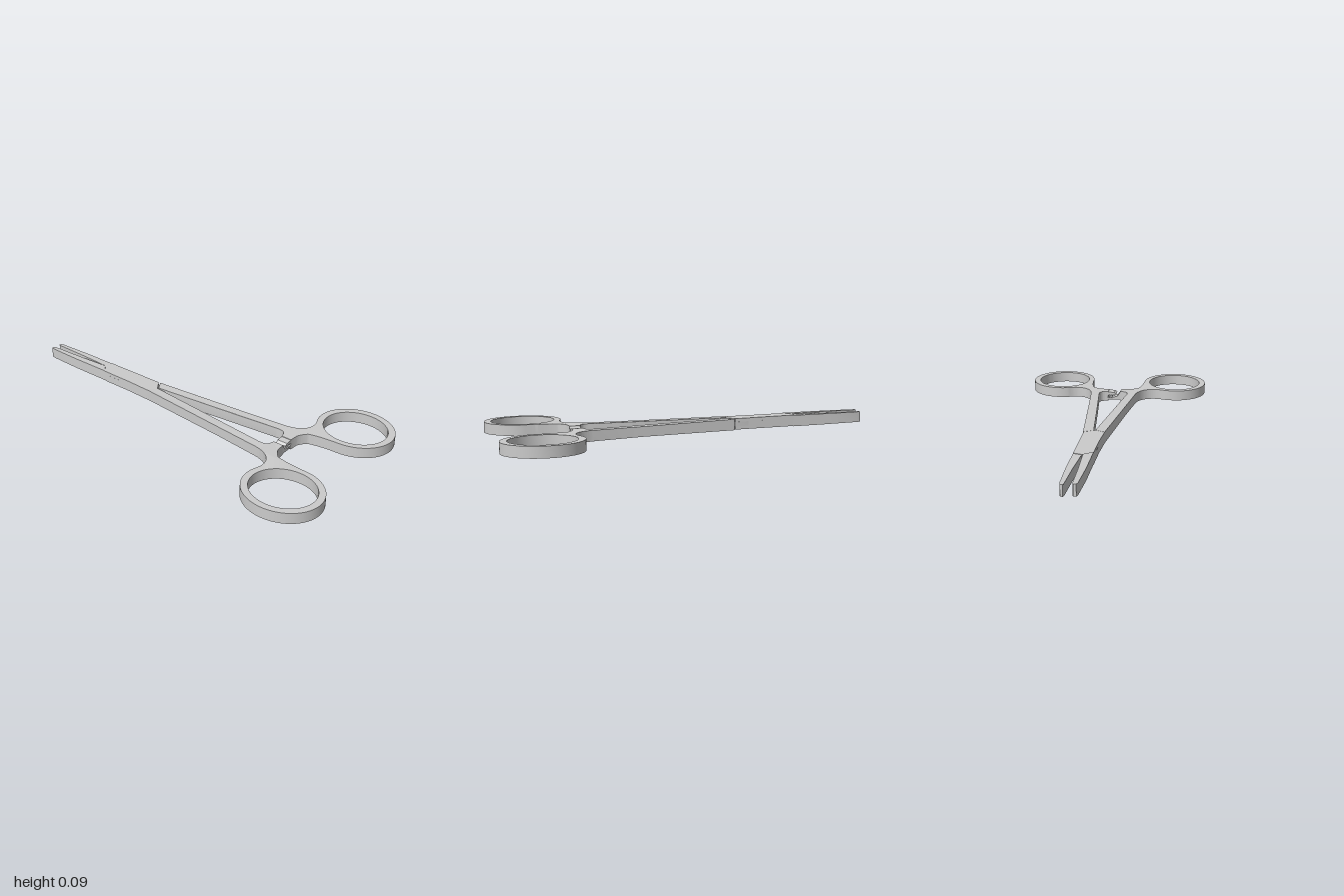
import * as THREE from 'three';
import { toCreasedNormals } from 'three/addons/utils/BufferGeometryUtils.js';

const steel = new THREE.MeshStandardMaterial({ color: 0xcccccc });

// Lower and upper surface heights along the length: [z, bottom, top]
const RISE = [
  [-1, 0.029, 0.085], [-0.6, 0.022, 0.081], [-0.25, 0.017, 0.075],
  [0.25, 0.013, 0.065], [0.6, 0.004, 0.06], [1, 0.002, 0.058],
];

function heightAt(z, t) {
  let i = 0;
  while (i < RISE.length - 2 && z > RISE[i + 1][0]) i++;
  const [a, b] = [RISE[i], RISE[i + 1]];
  const k = (z - a[0]) / (b[0] - a[0]);
  const low = THREE.MathUtils.lerp(a[1], b[1], k);
  const high = THREE.MathUtils.lerp(a[2], b[2], k);
  return THREE.MathUtils.lerp(low, high, t);
}

// Plan shape (x, -z) extruded between two fractions of the local thickness
function slab(name, shape, t0 = 0, t1 = 1, lift = 0) {
  let geo = new THREE.ExtrudeGeometry(shape, { depth: 1, bevelEnabled: false, curveSegments: 40 });
  geo.rotateX(-Math.PI / 2);
  const p = geo.attributes.position;
  for (let i = 0; i < p.count; i++) {
    p.setY(i, heightAt(p.getZ(i), p.getY(i) > 0.5 ? t1 : t0) + lift);
  }
  geo = toCreasedNormals(geo, 0.6);
  const mesh = new THREE.Mesh(geo, steel);
  mesh.name = name;
  return mesh;
}

const plan = (pts) => new THREE.Shape(pts.map(([x, z]) => new THREE.Vector2(x, -z)));

// Shank, ratchet root and finger ring as one outline; side is +1 or -1 in x
function handle(name, side, ringZ, lift) {
  const s = new THREE.Shape();
  s.moveTo(0.005, 0.23);
  s.lineTo(0.0285, 0);
  s.lineTo(0.054, -0.25);
  s.lineTo(0.079, -0.48);
  s.bezierCurveTo(0.084, -0.53, 0.065, -0.535, 0.035, -0.54);
  s.lineTo(0.035, -0.595);
  s.lineTo(0.08, -0.598);
  s.quadraticCurveTo(0.105, -0.605, 0.132, -0.632);
  s.quadraticCurveTo(0.15, -0.69, 0.153, -ringZ);
  s.absellipse(0.332, -ringZ, 0.179, 0.2, Math.PI, Math.PI * 2 + 1.92, false);
  s.bezierCurveTo(0.22, -0.625, 0.145, -0.61, 0.128, -0.5);
  s.lineTo(0.103, -0.25);
  s.lineTo(0.079, 0);
  s.lineTo(0.054, 0.26);

  const flip = (pts) => pts.map((v) => new THREE.Vector2(v.x * side - 0.003, v.y));
  const hole = new THREE.Path().absellipse(0.33, -ringZ, 0.147, 0.165, 0, Math.PI * 2, true);
  const shape = new THREE.Shape(flip(s.getPoints(40)));
  shape.holes.push(new THREE.Path(flip(hole.getPoints(40))));
  return slab(name, shape, 0, 1, lift);
}

// Ratchet tongue: toothed x-y profile running across the bar
function tongue(name, pts) {
  const geo = new THREE.ExtrudeGeometry(
    new THREE.Shape(pts.map(([x, y]) => new THREE.Vector2(x, y))),
    { depth: 0.055, bevelEnabled: false });
  geo.translate(0, 0, 0.54);
  const mesh = new THREE.Mesh(geo, steel);
  mesh.name = name;
  return mesh;
}

export function createModel() {
  const model = new THREE.Group();
  model.name = 'lockingForceps';

  // Handles with finger rings
  model.add(handle('leftHandle', 1, 0.783, -0.002));
  model.add(handle('rightHandle', -1, 0.794, 0.001));

  // Box joint: two cover plates, side walls and the crossing core between them
  const cover = plan([
    [-0.057, -0.26], [-0.008, -0.23], [0.0, -0.235], [0.047, -0.268], [0.045, -0.4],
    [0.043, -0.6], [0, -0.615], [-0.05, -0.575], [-0.051, -0.4],
  ]);
  model.add(slab('jointLowerPlate', cover, 0, 0.3));
  model.add(slab('jointUpperPlate', cover, 0.7, 1));
  model.add(slab('jointRightWall', plan([
    [-0.057, -0.26], [-0.008, -0.23], [-0.03, -0.4], [-0.051, -0.5], [-0.051, -0.4],
  ]), 0.3, 0.7));
  model.add(slab('jointLeftWall', plan([
    [0.046, -0.34], [0.043, -0.6], [0, -0.615], [0.025, -0.45],
  ]), 0.3, 0.7));
  model.add(slab('jointCore', plan([
    [-0.008, -0.23], [0.002, -0.23], [0.05, -0.262], [0.046, -0.34], [0.025, -0.45],
    [0, -0.615], [-0.05, -0.575], [-0.051, -0.5], [-0.03, -0.4],
  ]), 0.3, 0.7));

  // Jaws with softened tips
  model.add(slab('leftJaw', plan([
    [0, -0.61], [0.01, -0.8], [0.015, -0.99], [0.019, -1], [0.031, -1],
    [0.036, -0.98], [0.042, -0.8], [0.043, -0.6],
  ]), 0, 1, -0.002));
  model.add(slab('rightJaw', plan([
    [-0.005, -0.613], [-0.05, -0.575], [-0.05, -0.8], [-0.044, -0.98], [-0.039, -1],
    [-0.026, -1], [-0.021, -0.99], [-0.015, -0.8],
  ]), 0, 1, 0.002));

  // Interlocking ratchet tongues
  model.add(tongue('rightRatchet', [
    [-0.038, 0.012], [0.036, 0.011], [0.034, 0.019], [0.025, 0.025], [0.024, 0.019],
    [0.012, 0.026], [0.011, 0.02], [0, 0.027], [-0.02, 0.031], [-0.038, 0.058],
  ]));
  model.add(tongue('leftRatchet', [
    [0.036, 0.056], [-0.003, 0.054], [-0.015, 0.044], [-0.005, 0.036], [-0.003, 0.042],
    [0.009, 0.035], [0.01, 0.041], [0.022, 0.034], [0.023, 0.04], [0.036, 0.034],
  ]));

  return model;
}
